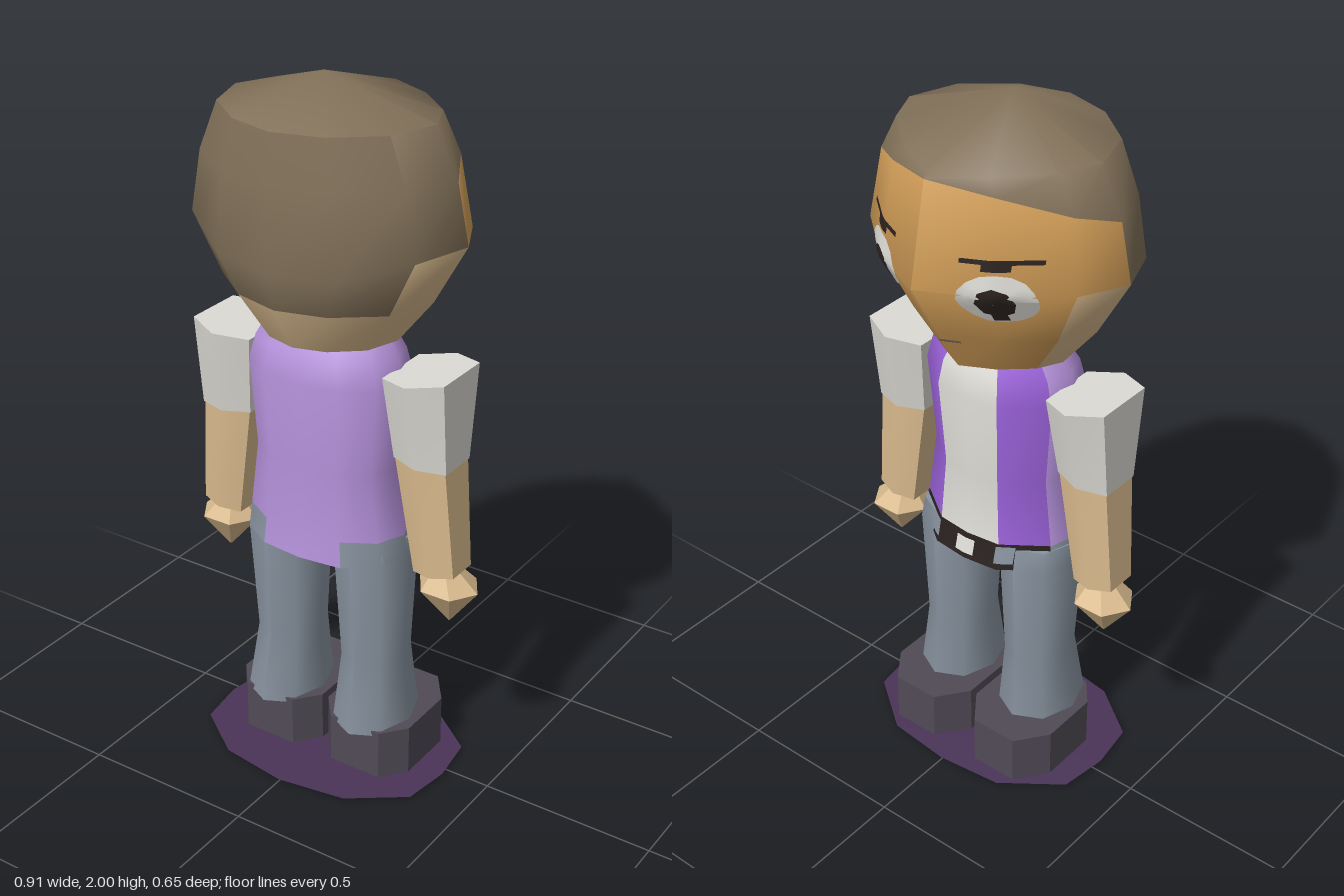
import * as THREE from 'three';
import { toCreasedNormals } from 'three/addons/utils/BufferGeometryUtils.js';

const mat = (name, color) => {
  const m = new THREE.MeshStandardMaterial({ color });
  m.name = name;
  return m;
};

// Full loop from its +x half, running front (-z), side, back (+z)
const mirrorLoop = (half) => [...half, ...half.slice(1, -1).reverse().map(([x, z]) => [-x, z])];

// Horizontal cross-section: loop scaled to half-width w and half-depth d
const ring = (loop, y, w, d, cx = 0, cz = 0, tilt = 0) =>
  loop.map(([x, z]) => new THREE.Vector3(cx + x * w, y + x * tilt, cz + z * d));

const centre = (r) => r.reduce((s, p) => s.add(p), new THREE.Vector3()).divideScalar(r.length);

// Skin through rings (bottom to top) with end caps; pick(row, column) gives each panel's material
function loft(name, rings, pick, apex = centre(rings.at(-1)), crease = 0.9) {
  const n = rings[0].length, rows = rings.length - 1;
  const points = [...rings.flat(), centre(rings[0]), apex];
  const faces = new Map();
  const add = (m, ...idx) => faces.set(m, [...(faces.get(m) || []), ...idx]);
  for (let j = 0; j < n; j++) {
    const k = (j + 1) % n;
    add(pick(-1, j), j, k, points.length - 2);
    add(pick(rows, j), rows * n + j, points.length - 1, rows * n + k);
    for (let i = 0; i < rows; i++) {
      const a = i * n + j, b = i * n + k;
      add(pick(i, j), a, a + n, b, b, a + n, b + n);
    }
  }
  const geo = new THREE.BufferGeometry().setFromPoints(points);
  const index = [];
  [...faces.values()].forEach((f, i) => {
    geo.addGroup(index.length, f.length, i);
    index.push(...f);
  });
  geo.setIndex(index);
  const mesh = new THREE.Mesh(toCreasedNormals(geo, crease), [...faces.keys()]);
  mesh.name = name;
  return mesh;
}

export function createModel() {
  const model = new THREE.Group();
  model.name = 'standingFigure';
  const hair = mat('hair brown', 0x83725a), skin = mat('skin tan', 0xdabb8e);
  const face = mat('face orange', 0xd5a059), shirt = mat('shirt lilac', 0xb592db);
  const stripe = mat('stripe purple', 0x9860d6), white = mat('off white', 0xdddbd5);
  const jeans = mat('jeans grey', 0x88939f), shoe = mat('shoe charcoal', 0x504a55);
  const black = mat('black', 0x2a211f), base = mat('base plum', 0x4a3457);
  base.side = THREE.DoubleSide;

  // Head: the loop's columns line up with hair, cheek and face borders
  const headLoop = mirrorLoop([[0, -0.325], [0.18, -0.235], [0.335, -0.1], [0.4, 0.03],
    [0.34, 0.18], [0.18, 0.285], [0, 0.325]]);
  const headRing = (w, f, b, ys) => headLoop.map(([x, z], j) => new THREE.Vector3(
    x * w, ys[Math.min(j, 12 - j)] ?? ys.at(-1), 0.03 + (z - 0.03) * (z < 0.03 ? f : b)));
  const head = loft('head', [
    headRing(0.5, 0.51, 0.64, [1.31]),
    headRing(0.76, 0.73, 0.9, [1.44]),
    headRing(1, 1, 1, [1.61, 1.61, 1.61, 1.61, 1.6, 1.55, 1.54]),
    headRing(0.915, 0.84, 0.975, [1.885, 1.855, 1.805, 1.77]),
    headRing(0.76, 0.82, 0.93, [1.895, 1.9, 1.905]),
  ], (row, j) => {
    const c = Math.min(j, 11 - j);
    if (row < 0) return skin;
    if (row > 2) return hair;
    if (row === 2) return c < 3 ? face : hair;
    if (c < 2) return face;
    return row === 1 && c > 3 ? hair : skin;
  }, new THREE.Vector3(0, 2, 0.07));
  model.add(head);

  // Thin painted pieces pressed onto the front (-z) of a mesh
  const ray = new THREE.Raycaster();
  function patch(name, geo, material, target, cx, cy, lift) {
    const p = geo.attributes.position;
    for (let i = 0; i < p.count; i++) {
      const x = cx - p.getX(i), y = cy + p.getY(i);
      ray.set(new THREE.Vector3(x, y, -2), new THREE.Vector3(0, 0, 1));
      const hit = ray.intersectObject(target)[0];
      p.setXYZ(i, x, y, (hit ? hit.point.z : 0) - lift);
    }
    geo.computeVertexNormals();
    const mesh = new THREE.Mesh(geo, material);
    mesh.name = name;
    model.add(mesh);
  }
  for (const s of [-1, 1]) {
    patch('eyeWhite', new THREE.RingGeometry(0.001, 0.08, 16, 4).scale(1.05, 0.92, 1), white, head, s * 0.18, 1.595, 0.005);
    patch('pupil', new THREE.RingGeometry(0.001, 0.042, 8, 3).scale(1, 1.1, 1), black, head, s * 0.18, 1.59, 0.009);
    patch('pupilTip', new THREE.PlaneGeometry(0.03, 0.04, 2, 1), black, head, s * 0.18, 1.55, 0.009);
    patch('eyebrow', new THREE.PlaneGeometry(0.17, 0.012, 8, 1), black, head, s * 0.185, 1.7, 0.006);
    patch('browMiddle', new THREE.PlaneGeometry(0.06, 0.025, 4, 1), black, head, s * 0.18, 1.69, 0.007);
  }
  patch('mouth', new THREE.PlaneGeometry(0.1, 0.008, 4, 1), hair, head, 0, 1.42, 0.005);

  // Torso: striped front, plain back, belt and waistband along the hem
  const torsoLoop = mirrorLoop([[0, -1], [0.42, -0.93], [0.9, -0.4], [1, 0.1], [0.86, 0.6], [0.5, 0.92], [0, 1]]);
  const torso = loft('torso', [
    [0.68, 0.25, 0.17, 0.03], [0.755, 0.24, 0.157, 0.035], [0.95, 0.212, 0.15, 0.038],
    [1.2, 0.235, 0.163, 0.035], [1.27, 0.215, 0.15, 0.035], [1.32, 0.18, 0.12, 0.03],
  ].map(([y, w, d, cz]) => ring(torsoLoop, y, w, d, 0, cz)), (row, j) => {
    const c = Math.min(j, 11 - j);
    if (row < 0 || row > 4) return shirt;
    if (row === 0) return c < 2 ? black : c < 5 ? jeans : shirt;
    return c === 0 ? white : c === 1 ? stripe : shirt;
  });
  model.add(torso);
  patch('buckle', new THREE.PlaneGeometry(0.06, 0.045, 2, 1), white, torso, 0, 0.72, 0.005);
  for (const s of [-1, 1])
    patch('beltLoop', new THREE.PlaneGeometry(0.045, 0.05, 2, 1), jeans, torso, s * 0.12, 0.725, 0.006);

  // Limbs
  const octagon = Array.from({ length: 8 }, (_, i) => [Math.sin(i * Math.PI / 4), -Math.cos(i * Math.PI / 4)]);
  const hexagon = Array.from({ length: 6 }, (_, i) => [Math.sin((i + 0.5) * Math.PI / 3), -Math.cos((i + 0.5) * Math.PI / 3)]);
  const armLoop = mirrorLoop([[0, -1], [1, -0.68], [1, 0.68], [0, 1]]);
  const shoeLoop = mirrorLoop([[0, -0.19], [0.07, -0.19], [0.137, -0.1], [0.137, 0.075], [0.08, 0.145], [0, 0.145]]);
  for (const s of [-1, 1]) {
    const side = s > 0 ? 'left' : 'right';
    const limb = (name, loop, rows, m, crease) => model.add(loft(side + name, rows.map(
      ([y, w, d, cx, cz, tilt = 0]) => ring(loop, y, w, d, s * cx, cz, s * tilt)), () => m, undefined, crease));
    limb('Leg', octagon, [[0.14, 0.115, 0.14, 0.147, 0.035], [0.35, 0.091, 0.113, 0.142, 0.028],
      [0.68, 0.108, 0.133, 0.142, 0.033], [0.74, 0.1, 0.12, 0.142, 0.033]], jeans);
    limb('Shoe', shoeLoop, [[0, 1, 1, 0.147, 0], [0.155, 1, 1, 0.147, 0]], shoe, 0.4);
    limb('Sleeve', armLoop, [[1.005, 0.08, 0.087, 0.312, 0.035, -0.004], [1.253, 0.092, 0.13, 0.303, 0.033, 0.012]], white, 1);
    limb('Forearm', armLoop, [[0.68, 0.062, 0.068, 0.35, 0.03, 0.008], [1.005, 0.077, 0.084, 0.312, 0.035, -0.004]], skin, 1);
    limb('Hand', hexagon, [[0.517, 0.003, 0.003, 0.37, 0.018], [0.625, 0.09, 0.083, 0.365, 0.018],
      [0.685, 0.035, 0.035, 0.355, 0.022]].map(([y, w, d, cx, cz]) => [y, w, d, cx, cz]), skin, 0.5);
  }

  // Flat oval base beneath the shoes
  const disc = new THREE.Shape(mirrorLoop([[0, -0.25], [0.19, -0.23], [0.35, -0.11], [0.37, 0.03],
    [0.35, 0.17], [0.2, 0.28], [0, 0.31]]).map(([x, z]) => new THREE.Vector2(x, -z)));
  const plate = new THREE.Mesh(new THREE.ShapeGeometry(disc).rotateX(-Math.PI / 2), base);
  plate.position.y = 0.006;
  plate.name = 'basePlate';
  model.add(plate);
  return model;
}
